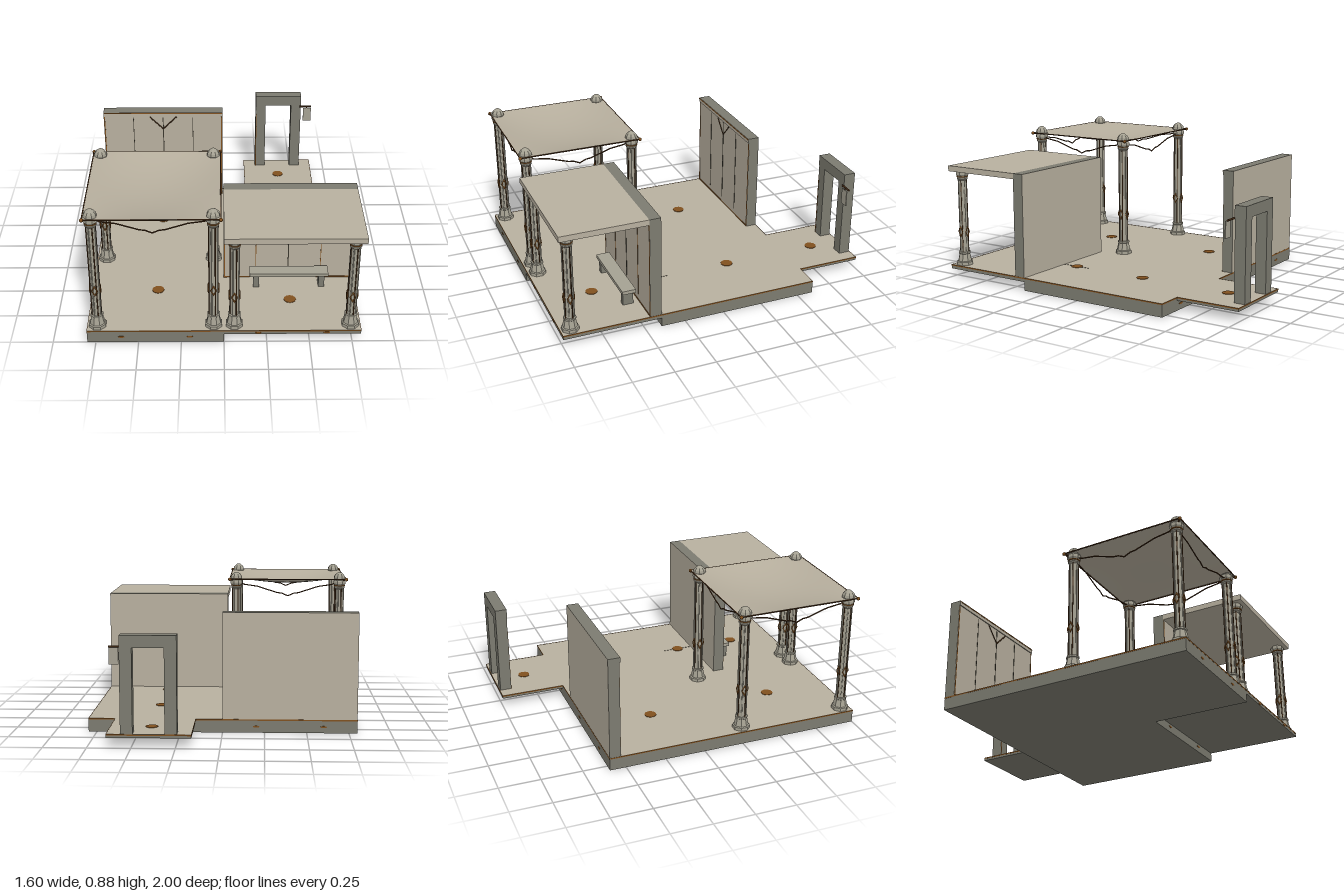
import * as THREE from 'three';

const mat = (name, color) => {
  const m = new THREE.MeshStandardMaterial({ color });
  m.name = name;
  return m;
};

export function createModel() {
  const model = new THREE.Group();
  model.name = 'courtyard';
  const sand = mat('sandstone', 0xb8b09f);
  const grey = mat('greyStone', 0x7c7b70);
  const pale = mat('paleStone', 0xa5a192);
  const copper = mat('copper', 0x80501f);
  const brown = mat('darkBronze', 0x4a2f18);
  const dark = mat('groove', 0x38352c);
  const cloth = mat('canopyCloth', 0xb6ae9d);
  cloth.side = THREE.DoubleSide;

  const add = (name, geo, material, parent = model) => {
    const mesh = new THREE.Mesh(geo, material);
    mesh.name = name;
    parent.add(mesh);
    return mesh;
  };
  // Box given by its limits along each axis
  const box = (name, [x0, x1], [y0, y1], [z0, z1], material, parent) => {
    const m = add(name, new THREE.BoxGeometry(x1 - x0, y1 - y0, z1 - z0), material, parent);
    m.position.set((x0 + x1) / 2, (y0 + y1) / 2, (z0 + z1) / 2);
    return m;
  };
  // Round or square bar between two points
  const bar = (name, a, b, r, material, parent, sides = 6) => {
    const p = new THREE.Vector3(...a), q = new THREE.Vector3(...b);
    const m = add(name, new THREE.CylinderGeometry(r, r, p.distanceTo(q), sides), material, parent);
    m.position.copy(p).lerp(q, 0.5);
    m.quaternion.setFromUnitVectors(new THREE.Vector3(0, 1, 0), q.sub(p).normalize());
    return m;
  };
  // Faceted octagonal turning
  const turned = (name, profile, material, parent) => {
    const pts = profile.map(([r, y]) => new THREE.Vector2(r, y));
    const g = new THREE.LatheGeometry(pts, 8, Math.PI / 8).toNonIndexed();
    g.computeVertexNormals();
    return add(name, g, material, parent);
  };

  // Floor slabs: pale top, grey sides
  const slabMats = [grey, grey, sand, grey, grey, grey];
  const outline = new THREE.Shape([[-0.8, -1], [0, -1], [0, -0.4], [0.8, -0.4], [0.8, 0.6], [-0.8, 0.6]]
    .map(([x, y]) => new THREE.Vector2(x, y)));
  const slab = new THREE.ExtrudeGeometry(outline, { depth: 0.08, bevelEnabled: false });
  slab.rotateX(-Math.PI / 2);
  const slabMesh = add('mainFloor', slab, [grey, grey]);
  slabMesh.scale.y = 0.0795 / 0.08;
  const top = add('floorTop', new THREE.ShapeGeometry(outline), sand);
  top.rotation.x = -Math.PI / 2;
  top.position.y = 0.08;
  box('shelterFloor', [0, 0.8], [0.055, 0.08], [0.4, 1], slabMats);
  box('porchFloor', [0.16, 0.64], [0.06, 0.08], [-1, -0.6], slabMats);

  // Copper edging round the floor
  const edge = [[-0.8, 1], [0.8, 1], [0.8, -0.6], [0.64, -0.6], [0.64, -1], [0.16, -1], [0.16, -0.6], [-0.8, -0.6]];
  edge.forEach(([x, z], i) => {
    const [u, w] = edge[(i + 1) % edge.length];
    box('floorEdging', [Math.min(x, u) - 0.001, Math.max(x, u) + 0.001], [0.073, 0.081],
      [Math.min(z, w) - 0.001, Math.max(z, w) + 0.001], copper);
  });

  // Floor medallions
  for (const [x, z] of [[-0.4, -0.2], [0.4, -0.2], [0.4, 0.3], [0.4, -0.8], [-0.4, 0.6], [0.4, 0.7]]) {
    add('floorMedallion', new THREE.CylinderGeometry(0.037, 0.037, 0.004, 12), copper).position.set(x, 0.081, z);
  }
  box('floorGroove', [0.399, 0.401], [0.08, 0.0815], [0.2, 0.4], dark);

  // Oval studs on the slab faces
  const stud = (x, y, z) => {
    const m = add('edgeStud', new THREE.CylinderGeometry(0.02, 0.02, 0.004, 10), copper);
    m.rotation.x = Math.PI / 2;
    m.scale.z = 0.3;
    m.position.set(x, y, z);
  };
  for (const x of [-0.6, -0.2]) stud(x, 0.037, 1);
  for (const x of [0.2, 0.6]) { stud(x, 0.037, 0.4); stud(x, 0.064, 1); }
  for (const x of [-0.6, -0.2, 0.2, 0.6]) stud(x, 0.037, -0.6);

  // Walls: pale faces, grey top and ends, with inlaid lines and a forked motif
  const wall = (name, cx, z0, z1, lineMat) => {
    const g = new THREE.Group();
    g.name = name;
    model.add(g);
    box('wallBody', [cx - 0.4, cx + 0.4], [0.08, 0.72], [z0, z1], [grey, grey, grey, grey, sand, sand], g);
    const f = [z1, z1 + 0.002];
    for (const s of [-1, 1]) {
      box('wallLine', [cx + s * 0.2 - 0.002, cx + s * 0.2 + 0.002], [0.12, 0.68], f, lineMat, g);
      box('wallEdging', [cx + s * 0.394 - 0.003, cx + s * 0.394 + 0.003], [0.08, 0.685], f, copper, g);
      bar('fork', [cx, 0.595, z1 + 0.001], [cx + s * 0.09, 0.685, z1 + 0.001], 0.004, brown, g, 4);
    }
    box('wallCentreLine', [cx - 0.003, cx + 0.003], [0.12, 0.68], f, dark, g);
    box('wallFootEdging', [cx - 0.4, cx + 0.4], [0.08, 0.088], f, copper, g);
    return g;
  };
  const back = wall('backWall', -0.4, -0.6, -0.532, dark);
  box('backWallCornice', [-0.8, 0], [0.69, 0.72], [-0.532, -0.526], [grey, grey, grey, grey, sand, sand], back);
  box('corniceLine', [-0.8, 0], [0.711, 0.717], [-0.526, -0.524], copper, back);
  wall('shelterWall', 0.4, 0.4, 0.47, copper);
  box('shelterRoof', [0, 0.8], [0.685, 0.72], [0.47, 1], sand);

  // Bench
  box('benchSeat', [0.16, 0.64], [0.163, 0.185], [0.5, 0.585], pale);
  for (const x of [0.2, 0.6]) box('benchLeg', [x - 0.018, x + 0.018], [0.08, 0.163], [0.51, 0.575], grey);

  // Doorway with a hanging sign
  for (const x of [0.275, 0.525]) box('doorPost', [x - 0.035, x + 0.035], [0.08, 0.57], [-0.995, -0.925], grey);
  box('doorLintel', [0.24, 0.56], [0.57, 0.64], [-0.995, -0.922], grey);
  box('doorLine', [0.242, 0.247], [0.08, 0.5], [-0.925, -0.923], copper);
  bar('signBracket', [0.55, 0.565, -0.917], [0.63, 0.565, -0.917], 0.006, brown);
  bar('signHook', [0.6, 0.565, -0.917], [0.6, 0.56, -0.903], 0.004, brown);
  box('signPlate', [0.575, 0.63], [0.46, 0.56], [-0.906, -0.9], pale);

  // Octagonal column: flared foot, ribbed shaft, diamond ornaments, capital
  const column = (x, z, h, ornamentY) => {
    const g = new THREE.Group();
    g.name = 'column';
    g.position.set(x, 0, z);
    model.add(g);
    turned('columnFoot', [[0, 0.08], [0.053, 0.08], [0.053, 0.1], [0.045, 0.104], [0.035, 0.15],
      [0.039, 0.154], [0.039, 0.164], [0, 0.166]], pale, g);
    turned('columnShaft', [[0.027, 0.16], [0.027, h - 0.04]], pale, g);
    turned('columnCapital', [[0.027, h - 0.06], [0.036, h - 0.05], [0.036, h - 0.042], [0.03, h - 0.038],
      [0.042, h - 0.022], [0.042, h - 0.008], [0.036, h], [0, h]], pale, g);
    turned('capitalBand', [[0.03, h - 0.039], [0.038, h - 0.037], [0.038, h - 0.033], [0.03, h - 0.031]], copper, g);
    for (let i = 0; i < 8; i++) {
      const a = (i + 0.5) * Math.PI / 4, sx = Math.sin(a) * 0.028, sz = Math.cos(a) * 0.028;
      bar('shaftRib', [sx, 0.16, sz], [sx, h - 0.05, sz], 0.0035, i % 2 ? pale : brown, g, 4);
    }
    for (let i = 0; i < 4; i++) {
      const a = i * Math.PI / 2;
      const d = add('diamond', new THREE.TorusGeometry(0.016, 0.004, 4, 4), copper, g);
      d.position.set(Math.sin(a) * 0.03, ornamentY, Math.cos(a) * 0.03);
      d.rotation.y = a;
      d.scale.y = 1.9;
    }
    return g;
  };
  for (const x of [0.06, 0.74]) column(x, 0.94, 0.685, 0.295);
  for (const x of [-0.74, -0.06]) for (const z of [0.26, 0.94]) {
    const g = column(x, z, 0.83, 0.345);
    turned('columnDome', [[0.034, 0.828], [0.04, 0.838], [0.037, 0.856], [0.026, 0.87], [0.012, 0.88], [0, 0.882]], pale, g);
  }

  // Sagging cloth canopy
  const sheet = new THREE.PlaneGeometry(0.76, 0.76, 16, 16).rotateX(-Math.PI / 2);
  const p = sheet.attributes.position;
  for (let i = 0; i < p.count; i++) {
    const u = p.getX(i) / 0.38, v = p.getZ(i) / 0.38;
    p.setY(i, -0.055 * (1 - u * u) * (1 - v * v));
  }
  sheet.computeVertexNormals();
  add('canopyCloth', sheet, cloth).position.set(-0.4, 0.839, 0.6);

  // Canopy frame and hanging braces, one per side
  const swag = [[0.32, 0.815], [0.29, 0.8], [0.2, 0.787], [0.07, 0.745], [0.04, 0.742], [0, 0.724]];
  for (let i = 0; i < 4; i++) {
    const side = new THREE.Group();
    side.name = 'canopySide';
    side.position.set(-0.4, 0, 0.6);
    side.rotation.y = i * Math.PI / 2;
    model.add(side);
    bar('frameRod', [-0.39, 0.837, 0.383], [0.39, 0.837, 0.383], 0.004, brown, side);
    add('frameKnob', new THREE.SphereGeometry(0.011, 8, 6), copper, side).position.set(0.383, 0.836, 0.383);
    bar('frameTie', [0.34, 0.825, 0.34], [0.383, 0.836, 0.383], 0.005, brown, side);
    for (const s of [-1, 1]) for (let k = 0; k < swag.length - 1; k++) {
      const [a, b] = [swag[k], swag[k + 1]];
      bar('swagBrace', [s * a[0], a[1], 0.34], [s * b[0], b[1], 0.34], 0.004, brown, side);
    }
  }
  return model;
}
